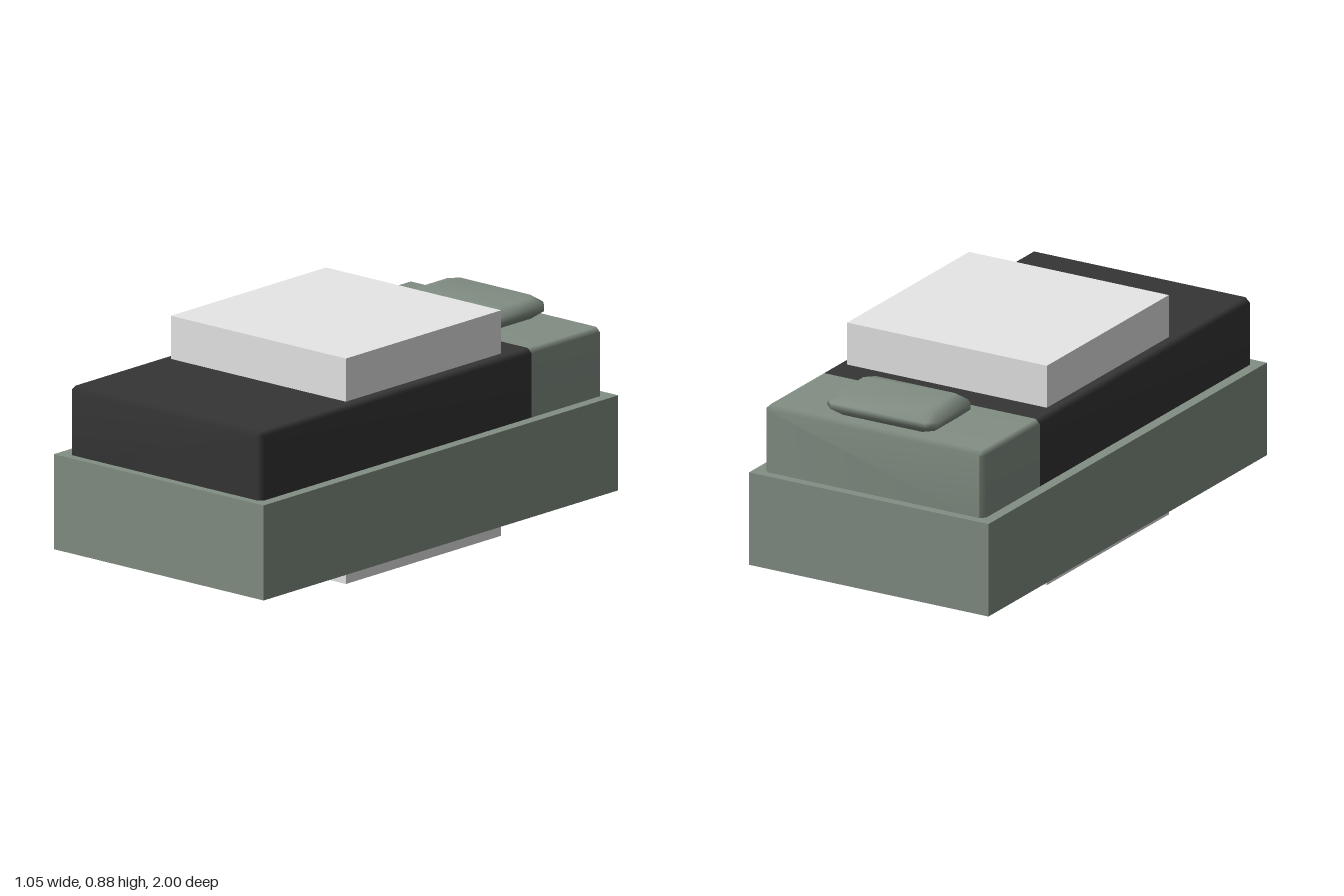
import * as THREE from 'three';

// Octagonal outline (chamfered rectangle) in local u/v, counter-clockwise
function outline(u0, u1, v0, v1, c) {
  return [
    [u0 + c, v0], [u1 - c, v0], [u1, v0 + c], [u1, v1 - c],
    [u1 - c, v1], [u0 + c, v1], [u0, v1 - c], [u0, v0 + c],
  ];
}

// Smooth loft through octagons stacked along z; bands carry a material index
function loft(sections, bandMaterials) {
  const pos = [], idx = [], n = 8, last = sections.length - 1;
  const geo = new THREE.BufferGeometry();
  sections.forEach(({ z, pts }) => pts.forEach(([x, y]) => pos.push(x, y, z)));
  const group = (start, m) => geo.addGroup(start, idx.length - start, m);
  for (let s = 0; s < last; s++) {
    const start = idx.length;
    if (s === 0) for (let i = 1; i < n - 1; i++) idx.push(0, i + 1, i);
    for (let i = 0; i < n; i++) {
      const a = s * n + i, b = s * n + (i + 1) % n;
      idx.push(a, b, b + n, a, b + n, a + n);
    }
    if (s === last - 1) {
      const o = last * n;
      for (let i = 1; i < n - 1; i++) idx.push(o, o + i, o + i + 1);
    }
    group(start, bandMaterials[s]);
  }
  geo.setAttribute('position', new THREE.Float32BufferAttribute(pos, 3));
  geo.setIndex(idx);
  geo.computeVertexNormals();
  return geo;
}

export function createModel() {
  const model = new THREE.Group();
  model.name = 'bed';

  const mat = (name, color) => {
    const m = new THREE.MeshStandardMaterial({ color });
    m.name = name;
    return m;
  };
  const green = mat('greyGreen', 0x828e83);
  const dark = mat('charcoal', 0x353535);
  const pale = mat('paleGrey', 0xe7e7e7);

  const add = (name, geo, material, x, y, z) => {
    const mesh = new THREE.Mesh(geo, material);
    mesh.name = name;
    mesh.position.set(x, y, z);
    model.add(mesh);
    return mesh;
  };

  // Bed base
  add('base', new THREE.BoxGeometry(1.05, 0.37, 2), green, 0, 0.258, 0);

  // Block running up through the middle of the bed
  add('centreBlock', new THREE.BoxGeometry(0.876, 0.878, 0.876), pale, 0, 0.439, 0);

  // Mattress: bare at the head end, covered by the blanket toward the foot
  const c = 0.018;
  const full = outline(-0.482, 0.482, 0.41, 0.71, c);
  const inset = outline(-0.482 + c, 0.482 - c, 0.41 + c, 0.71 - c, 0.004);
  const mattress = loft([
    { z: -0.963, pts: inset },
    { z: -0.963 + c, pts: full },
    { z: -0.56, pts: full },
    { z: 0.965 - c, pts: full },
    { z: 0.965, pts: inset },
  ], [0, 0, 1, 1]);
  add('mattressAndBlanket', mattress, [green, dark], 0, 0, 0);

  // Pillow: octagons stacked in thickness, then laid flat
  const ring = (z, d) => ({
    z, pts: outline(-0.242 + d, 0.242 - d, -0.152 + d, 0.152 - d, 0.034),
  });
  const pillow = loft(
    [ring(-0.04, 0.035), ring(-0.012, 0), ring(0.012, 0), ring(0.04, 0.035)],
    [0, 0, 0],
  );
  pillow.rotateX(-Math.PI / 2);
  add('pillow', pillow, [green], 0, 0.75, -0.782);

  return model;
}
